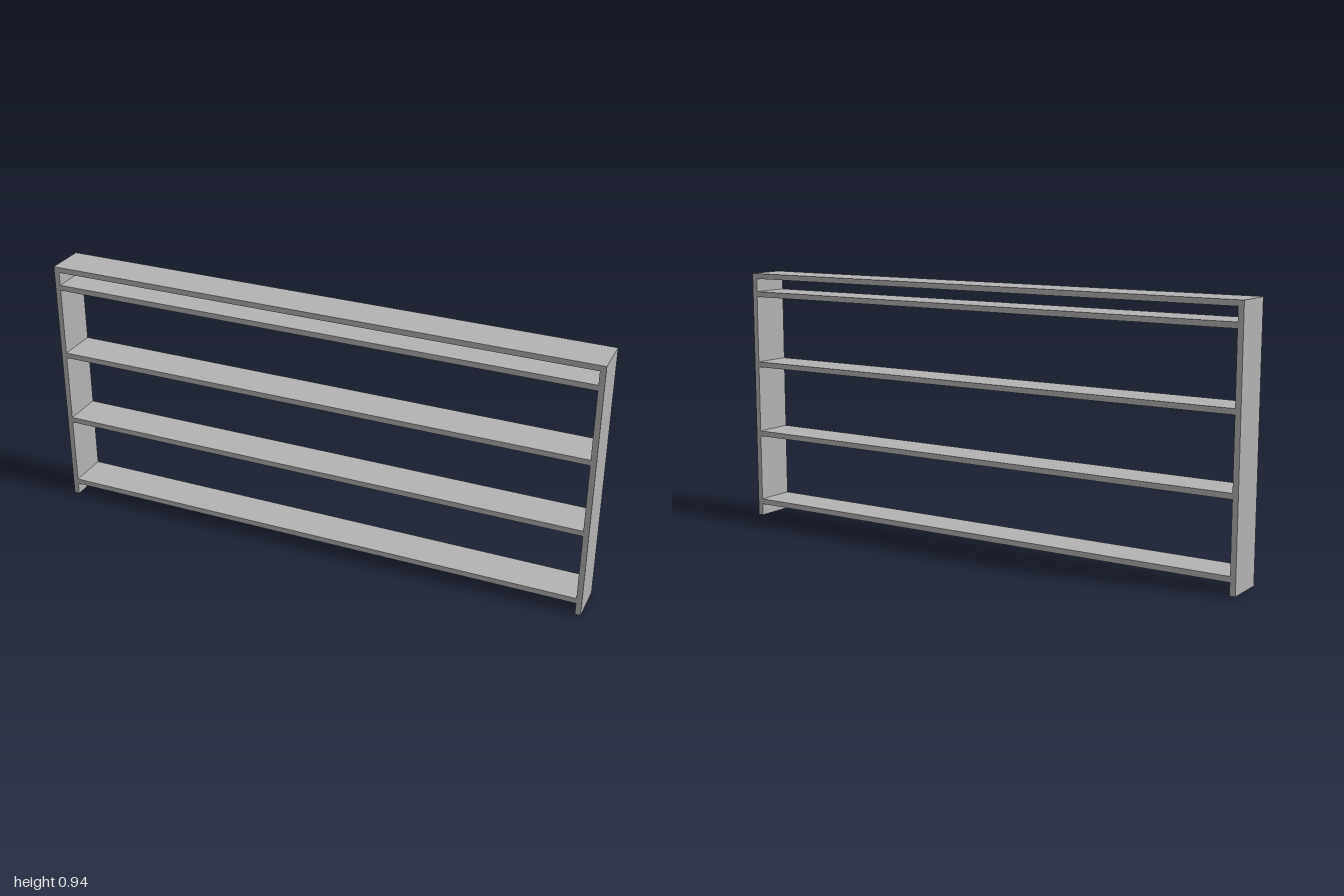
import * as THREE from 'three';

const WIDTH = 2, HEIGHT = 0.938, DEPTH = 0.147, BOARD = 0.02;

export function createModel() {
  const group = new THREE.Group();
  const grey = new THREE.MeshStandardMaterial({ color: 0xb3b3b3 });
  grey.name = 'greyBoard';

  function board(name, w, h, x, y) {
    const mesh = new THREE.Mesh(new THREE.BoxGeometry(w, h, DEPTH), grey);
    mesh.name = name;
    mesh.position.set(x, y, 0);
    group.add(mesh);
  }

  // Top board across the full width
  board('topBoard', WIDTH, BOARD, 0, HEIGHT - BOARD / 2);

  // Upright side panels under the top board
  const sideHeight = HEIGHT - BOARD;
  for (const [name, s] of [['leftSide', 1], ['rightSide', -1]]) {
    board(name, BOARD, sideHeight, s * (WIDTH - BOARD) / 2, sideHeight / 2);
  }

  // Evenly spaced shelves between the sides
  for (let i = 0; i < 4; i++) {
    board('shelf' + (i + 1), WIDTH - 2 * BOARD, BOARD, 0, 0.054 + i * 0.2685);
  }
  return group;
}
